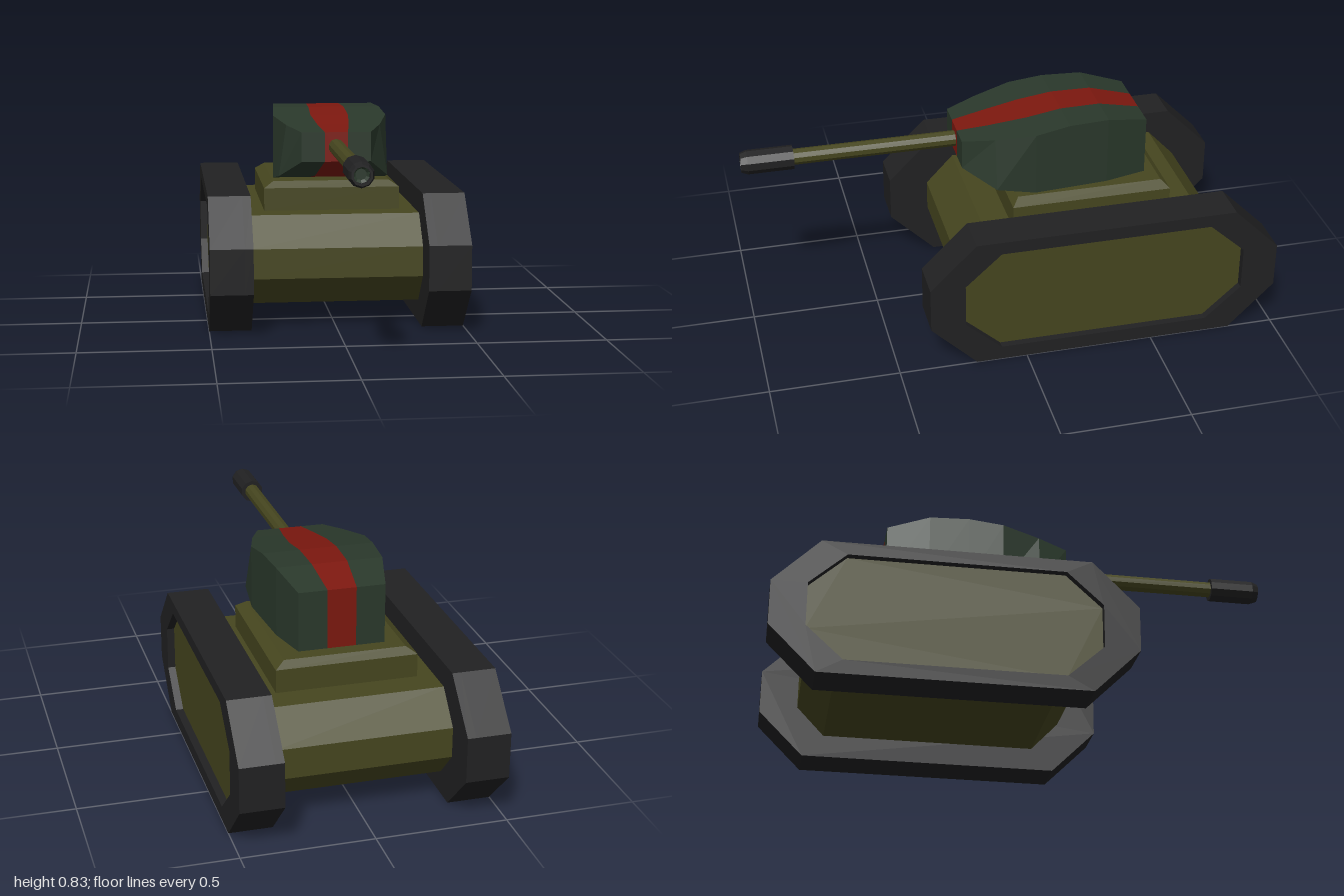
import * as THREE from 'three';

const paint = (color) => new THREE.MeshStandardMaterial({ color, flatShading: true });
const olive = paint(0x46461f), rubber = paint(0x212122), green = paint(0x2a382b), red = paint(0x7c180f);

function add(parent, name, geometry, material) {
  const mesh = new THREE.Mesh(geometry, material);
  mesh.name = name;
  parent.add(mesh);
  return mesh;
}

// Rectangle with cut corners as [z, y] points
function cutRect(z0, z1, y0, y1, cz, cy) {
  return [[z0 + cz, y0], [z1 - cz, y0], [z1, y0 + cy], [z1, y1 - cy],
    [z1 - cz, y1], [z0 + cz, y1], [z0, y1 - cy], [z0, y0 + cy]].map(([z, y]) => new THREE.Vector2(z, y));
}

// Extrude a [z, y] outline across x from x0 to x1
function across(outline, x0, x1, hole) {
  const shape = new THREE.Shape(outline);
  if (hole) shape.holes.push(new THREE.Path(hole));
  const g = new THREE.ExtrudeGeometry(shape, { depth: x1 - x0, bevelEnabled: false });
  return g.rotateY(-Math.PI / 2).translate(x1, 0, 0);
}

// Faceted solid of revolution along z, from [radius, z] points
function alongZ(points, sides) {
  const g = new THREE.LatheGeometry(points.map(([r, z]) => new THREE.Vector2(r, z)), sides);
  return g.rotateX(Math.PI / 2);
}

function quads(list) {
  const pos = [];
  for (const [a, b, c, d] of list) pos.push(...a, ...b, ...c, ...a, ...c, ...d);
  const g = new THREE.BufferGeometry();
  g.setAttribute('position', new THREE.Float32BufferAttribute(pos, 3));
  g.computeVertexNormals();
  return g;
}

function buildTurret() {
  const turret = new THREE.Group();
  turret.name = 'turret';
  // Sections back to front: z, bottom y, top y, bottom half width, top half width
  const rings = [
    [-0.555, 0.56, 0.79, 0.165, 0.165],
    [-0.39, 0.56, 0.83, 0.205, 0.205],
    [-0.235, 0.56, 0.83, 0.217, 0.217],
    [-0.1, 0.56, 0.81, 0.227, 0.227],
    [0.05, 0.585, 0.787, 0.215, 0.185],
    [0.17, 0.655, 0.77, 0.135, 0.135],
  ].map(([z, y0, y1, w0, w1]) => [
    ...[-1, -1 / 3, 1 / 3, 1].map((f) => [f * w1, y1, z]),
    ...[1, 1 / 3, -1 / 3, -1].map((f) => [f * w0, y0, z]),
  ]);
  const body = [], stripe = [];
  for (let i = 0; i < rings.length - 1; i++) {
    const p = rings[i], q = rings[i + 1];
    for (let k = 0; k < 8; k++) {
      const n = (k + 1) % 8;
      (k === 1 || k === 5 ? stripe : body).push([p[k], q[k], q[n], p[n]]);
    }
  }
  // Front and back faces, in three columns
  const back = rings[0], front = rings[rings.length - 1];
  for (let k = 0; k < 3; k++) {
    const target = k === 1 ? stripe : body;
    target.push([front[k], front[7 - k], front[6 - k], front[k + 1]]);
    target.push([back[k + 1], back[6 - k], back[7 - k], back[k]]);
  }
  add(turret, 'turretShell', quads(body), green);
  add(turret, 'turretStripe', quads(stripe), red);
  return turret;
}

function buildGun() {
  const gun = new THREE.Group();
  gun.name = 'gun';
  add(gun, 'barrel', alongZ([[0, 0.1], [0.031, 0.1], [0.031, 0.9], [0, 0.9]], 10), olive);
  add(gun, 'muzzle', alongZ([[0, 0.8], [0.047, 0.8], [0.047, 0.975], [0.038, 1], [0.03, 1], [0.03, 0.975]], 10), rubber);
  add(gun, 'bore', alongZ([[0.03, 0.975], [0.02, 0.965], [0, 0.965]], 10), green);
  gun.position.y = 0.713;
  return gun;
}

function buildTrack(side) {
  const track = new THREE.Group();
  track.name = side > 0 ? 'leftTrack' : 'rightTrack';
  const outer = cutRect(-1, 0.375, 0, 0.53, 0.178, 0.177);
  const inner = cutRect(-0.863, 0.24, 0.055, 0.48, 0.14, 0.127);
  add(track, 'trackRim', across(outer, -0.05, 0.0825, inner), rubber);
  add(track, 'trackInnerWall', across(outer, -0.0825, -0.05), rubber);
  add(track, 'trackSidePanel', across(inner, -0.05, 0.053), olive);
  track.position.x = side * 0.4175;
  if (side < 0) {
    // Turn about, then shift so the run stays in line with the other track
    track.rotation.y = Math.PI;
    track.position.z = -0.625;
  }
  return track;
}

export function createModel() {
  const tank = new THREE.Group();
  tank.name = 'tank';

  add(tank, 'hull', across(cutRect(-0.85, 0.22, 0.09, 0.44, 0.11, 0.116), -0.336, 0.336), olive);

  // Raised deck with a sloped top edge
  const deck = add(tank, 'deck', new THREE.BoxGeometry(0.54, 0.09, 0.63), olive);
  deck.position.set(0, 0.485, -0.315);
  const slope = new THREE.BoxGeometry(0.54, 0.025, 0.63);
  const p = slope.attributes.position;
  for (let i = 0; i < p.count; i++) {
    if (p.getY(i) > 0) p.setXYZ(i, p.getX(i) * 0.86, p.getY(i), p.getZ(i) * 0.91);
  }
  add(tank, 'deckSlope', slope, olive).position.set(0, 0.5425, -0.315);
  // Ring the turret turns on
  add(tank, 'turretRing', new THREE.CylinderGeometry(0.15, 0.15, 0.02, 12), olive).position.set(0, 0.555, -0.3);

  tank.add(buildTurret(), buildGun(), buildTrack(1), buildTrack(-1));
  return tank;
}
